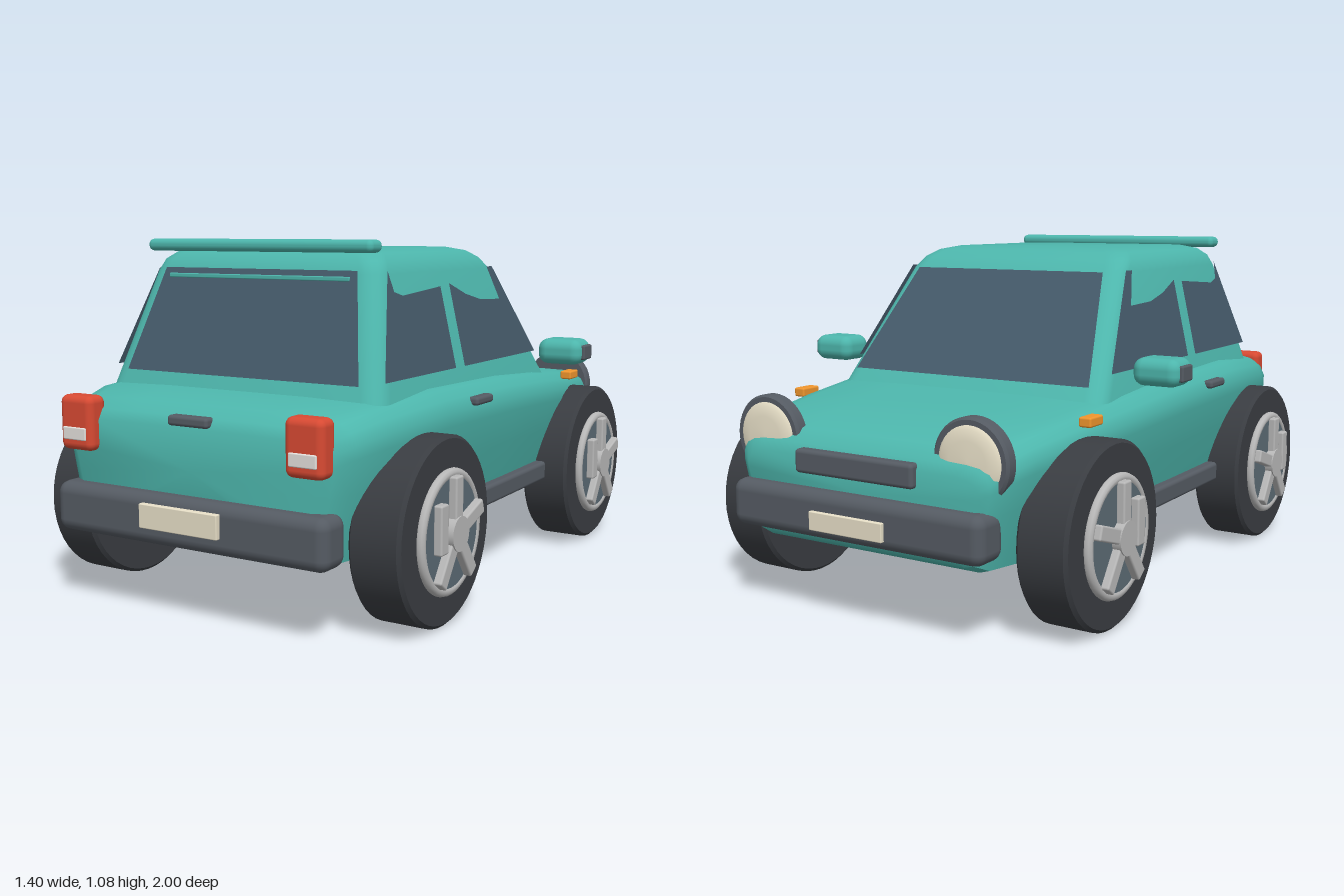
import * as THREE from 'three';
import { toCreasedNormals } from 'three/addons/utils/BufferGeometryUtils.js';
import { RoundedBoxGeometry } from 'three/addons/geometries/RoundedBoxGeometry.js';

const mat = (color, side = THREE.FrontSide) => new THREE.MeshStandardMaterial({ color, side });
const PAINT = mat(0x4db6ac), GLASS = mat(0x455a6a, THREE.DoubleSide), RUBBER = mat(0x3a3d42);
const TRIM = mat(0x555b63), DARK = mat(0x5c6b75), METAL = mat(0xb8b8b8);
const CREAM = mat(0xe8e0c8), RED = mat(0xd84a33), AMBER = mat(0xf0962e), WHITE = mat(0xe4e0dc);

export function createModel() {
  const car = new THREE.Group();
  car.name = 'car';

  const add = (name, geometry, material, parent = car) => {
    const mesh = new THREE.Mesh(geometry, material);
    mesh.name = name;
    parent.add(mesh);
    return mesh;
  };

  // Rounded box given by its limits on each axis
  const box = (name, material, [x0, x1], [y0, y1], [z0, z1], radius = 0.01) => {
    const mesh = add(name, new RoundedBoxGeometry(x1 - x0, y1 - y0, z1 - z0, 3, radius), material);
    mesh.position.set((x0 + x1) / 2, (y0 + y1) / 2, (z0 + z1) / 2);
    return mesh;
  };
  // The same box on both sides of the car
  const pair = (name, material, [x0, x1], y, z, radius) => {
    box(name + 'Left', material, [x0, x1], y, z, radius);
    box(name + 'Right', material, [-x1, -x0], y, z, radius);
  };

  // Closed skin over a row of equal-sized rings
  const loft = (rings, crease) => {
    const n = rings[0].length, pos = rings.flat(2), index = [];
    for (let r = 0; r < rings.length - 1; r++) {
      for (let i = 0; i < n; i++) {
        const a = r * n + i, b = r * n + (i + 1) % n;
        index.push(a, b, b + n, a, b + n, a + n);
      }
    }
    [0, rings.length - 1].forEach((r, last) => {
      const c = [0, 1, 2].map(k => rings[r].reduce((s, p) => s + p[k], 0) / n);
      const ci = pos.length / 3;
      pos.push(...c);
      for (let i = 0; i < n; i++) {
        const a = r * n + i, b = r * n + (i + 1) % n;
        index.push(ci, last ? a : b, last ? b : a);
      }
    });
    const g = new THREE.BufferGeometry();
    g.setAttribute('position', new THREE.Float32BufferAttribute(pos, 3));
    g.setIndex(index);
    return toCreasedNormals(g.toNonIndexed(), crease);
  };

  // Lower body: half section as fractions of half width and height
  const half = [[0, 0], [0.8, 0], [0.87, 0.03], [0.905, 0.2], [0.96, 0.5], [1, 0.74],
    [1, 0.83], [0.97, 0.91], [0.91, 0.965], [0.82, 0.99], [0.45, 1], [0, 1]];
  const section = [...half, ...half.slice(1, -1).reverse().map(([x, t]) => [-x, t])];
  // z, half width, bottom, top; from the nose to the tail
  const stations = [[-0.945, 0.41, 0.26, 0.48], [-0.93, 0.44, 0.23, 0.51], [-0.89, 0.47, 0.21, 0.545],
    [-0.8, 0.5, 0.21, 0.575], [-0.6, 0.53, 0.21, 0.6], [-0.3, 0.56, 0.21, 0.63], [0, 0.565, 0.21, 0.648],
    [0.45, 0.56, 0.21, 0.658], [0.75, 0.535, 0.21, 0.64], [0.87, 0.5, 0.21, 0.617],
    [0.92, 0.465, 0.22, 0.59], [0.937, 0.43, 0.25, 0.56]];
  add('body', loft(stations.map(([z, w, b, t]) =>
    section.map(([x, s]) => [x * w, b + s * (t - b), z])), 0.7), PAINT);

  // Cabin: rounded rectangles stacked upwards; y, half width, front z, rear z
  const levels = [[0.6, 0.496, -0.439, 0.743], [0.98, 0.41, -0.16, 0.607], [1.015, 0.395, -0.118, 0.59],
    [1.038, 0.368, -0.075, 0.562], [1.05, 0.32, -0.02, 0.52]];
  add('cabin', loft(levels.map(([y, w, z0, z1]) => {
    const ring = [], r = 0.06;
    for (let q = 0; q < 4; q++) {
      for (let k = 0; k <= 5; k++) {
        const a = (q + k / 5) * Math.PI / 2;
        const right = q === 0 || q === 3, front = q < 2;
        ring.push([(right ? w - r : r - w) + r * Math.cos(a), y, (front ? z0 + r : z1 - r) - r * Math.sin(a)]);
      }
    }
    return ring;
  }), 0.7), PAINT);

  // Window panes: flat outlines laid on sloping planes
  const pane = (name, outline, place) => {
    const g = new THREE.ShapeGeometry(new THREE.Shape(outline.map(p => new THREE.Vector2(...p))));
    const p = g.attributes.position;
    for (let i = 0; i < p.count; i++) p.setXYZ(i, ...place(p.getX(i), p.getY(i)));
    g.computeVertexNormals();
    add(name, g, GLASS);
  };
  pane('windshield', [[-0.44, 0.655], [0.44, 0.655], [0.355, 0.98], [-0.355, 0.98]],
    (x, y) => [x, y, -0.421 + (y - 0.64) * 0.735]);
  const rearZ = y => 0.731 - (y - 0.65) * 0.357;
  pane('rearWindow', [[-0.415, 0.68], [0.415, 0.68], [0.345, 0.99], [-0.345, 0.99]],
    (x, y) => [x, y, rearZ(y)]);
  box('rearWindowStrip', PAINT, [-0.325, 0.325], [0.96, 0.973], [0.61, rearZ(0.966) + 0.004], 0.003);
  const rearSide = [[0.69, 0.69], [0.56, 0.99], [0.545, 0.93], [0.5, 0.918], [0.26, 0.935], [0.26, 0.69]];
  const frontSide = [[0.2, 0.69], [0.2, 0.942], [0.1, 0.905], [0, 0.883], [-0.14, 0.878],
    [-0.09, 0.985], [-0.13, 0.985], [-0.345, 0.69]];
  for (const [side, s] of [['Left', 1], ['Right', -1]]) {
    const place = (z, y) => [s * (0.491 - (y - 0.65) * 0.2286), y, z];
    pane('rearSideWindow' + side, rearSide, place);
    pane('frontSideWindow' + side, frontSide, place);
  }

  // Roof spoiler, bumpers, plates and trim
  box('roofSpoiler', PAINT, [-0.403, 0.403], [1.04, 1.077], [0.562, 0.632], 0.017);
  box('frontBumper', TRIM, [-0.445, 0.445], [0.25, 0.39], [-0.988, -0.865], 0.035);
  box('rearBumper', TRIM, [-0.475, 0.475], [0.222, 0.37], [0.87, 0.985], 0.035);
  box('frontPlate', CREAM, [-0.13, 0.13], [0.28, 0.335], [-1, -0.98], 0.003);
  box('rearPlate', CREAM, [-0.137, 0.137], [0.275, 0.345], [0.975, 1], 0.003);
  box('grille', TRIM, [-0.21, 0.21], [0.43, 0.5], [-0.966, -0.92], 0.012);
  box('tailgateHandle', TRIM, [-0.07, 0.07], [0.565, 0.595], [0.91, 0.95], 0.01);
  pair('sill', TRIM, [0.44, 0.545], [0.247, 0.31], [-0.34, 0.34], 0.012);
  pair('doorHandle', TRIM, [0.54, 0.576], [0.585, 0.611], [0.188, 0.302], 0.01);
  pair('sideMarker', AMBER, [0.51, 0.55], [0.573, 0.602], [-0.595, -0.52], 0.006);

  // Mirrors
  pair('mirror', PAINT, [0.54, 0.692], [0.66, 0.744], [-0.343, -0.218], 0.034);
  pair('mirrorPlate', TRIM, [0.68, 0.7], [0.677, 0.725], [-0.318, -0.248], 0.006);

  // Tail lights
  pair('tailLight', RED, [0.337, 0.46], [0.465, 0.627], [0.9, 0.972], 0.022);
  pair('reverseLight', WHITE, [0.355, 0.443], [0.497, 0.535], [0.94, 0.976], 0.004);

  // Headlights: dark bezel, domed lens
  const lensProfile = [[0, 0.016], [0.06, 0.014], [0.09, 0.009], [0.102, 0]].map(p => new THREE.Vector2(...p)).reverse();
  for (const [side, s] of [['Left', 1], ['Right', -1]]) {
    const lamp = new THREE.Group();
    lamp.name = 'headlight' + side;
    lamp.position.set(s * 0.362, 0.513, -0.89);
    lamp.rotation.x = -Math.PI / 2;
    const bezel = [[0, -0.022], [0.115, -0.022], [0.122, -0.015], [0.122, 0.014], [0.115, 0.022], [0, 0.022]];
    add('bezel', toCreasedNormals(new THREE.LatheGeometry(bezel.map(p => new THREE.Vector2(...p)), 40), 0.6), TRIM, lamp);
    add('lens', new THREE.LatheGeometry(lensProfile, 40), CREAM, lamp).position.y = 0.021;
    car.add(lamp);
  }

  // Wheels: axle along x, five spokes with one standing upright
  const tyreProfile = [[0, -0.08], [0.262, -0.08], [0.272, -0.07], [0.272, 0.07], [0.262, 0.08], [0, 0.08]];
  const tyre = toCreasedNormals(new THREE.LatheGeometry(tyreProfile.map(p => new THREE.Vector2(...p)), 48), 0.6);
  tyre.rotateZ(-Math.PI / 2);
  const disc = (r, depth) => new THREE.CylinderGeometry(r, r, depth, 40).rotateZ(-Math.PI / 2);
  for (const [end, z] of [['front', -0.58], ['rear', 0.587]]) {
    for (const [side, s] of [['Left', 1], ['Right', -1]]) {
      const wheel = new THREE.Group();
      wheel.name = end + 'Wheel' + side;
      wheel.position.set(s * 0.542, 0.273, z);
      add('tyre', tyre, RUBBER, wheel);
      add('rimDisc', disc(0.165, 0.02), DARK, wheel).position.x = s * 0.086;
      const ring = add('rimRing', new THREE.TorusGeometry(0.166, 0.015, 10, 48).rotateY(Math.PI / 2), METAL, wheel);
      ring.position.x = s * 0.085;
      add('hub', disc(0.05, 0.04), METAL, wheel).position.x = s * 0.104;
      for (let i = 0; i < 5; i++) {
        const a = Math.PI / 2 + i * Math.PI * 2 / 5;
        const spoke = add('spoke', new RoundedBoxGeometry(0.028, 0.14, 0.044, 2, 0.006), METAL, wheel);
        spoke.position.set(s * 0.106, 0.092 * Math.sin(a), -0.092 * Math.cos(a));
        spoke.rotation.x = i === 1 ? 0 : a - Math.PI / 2;
        if (i > 1) spoke.rotation.x = Math.atan2(-Math.cos(a), Math.sin(a));
      }
      car.add(wheel);
    }
  }
  return car;
}
